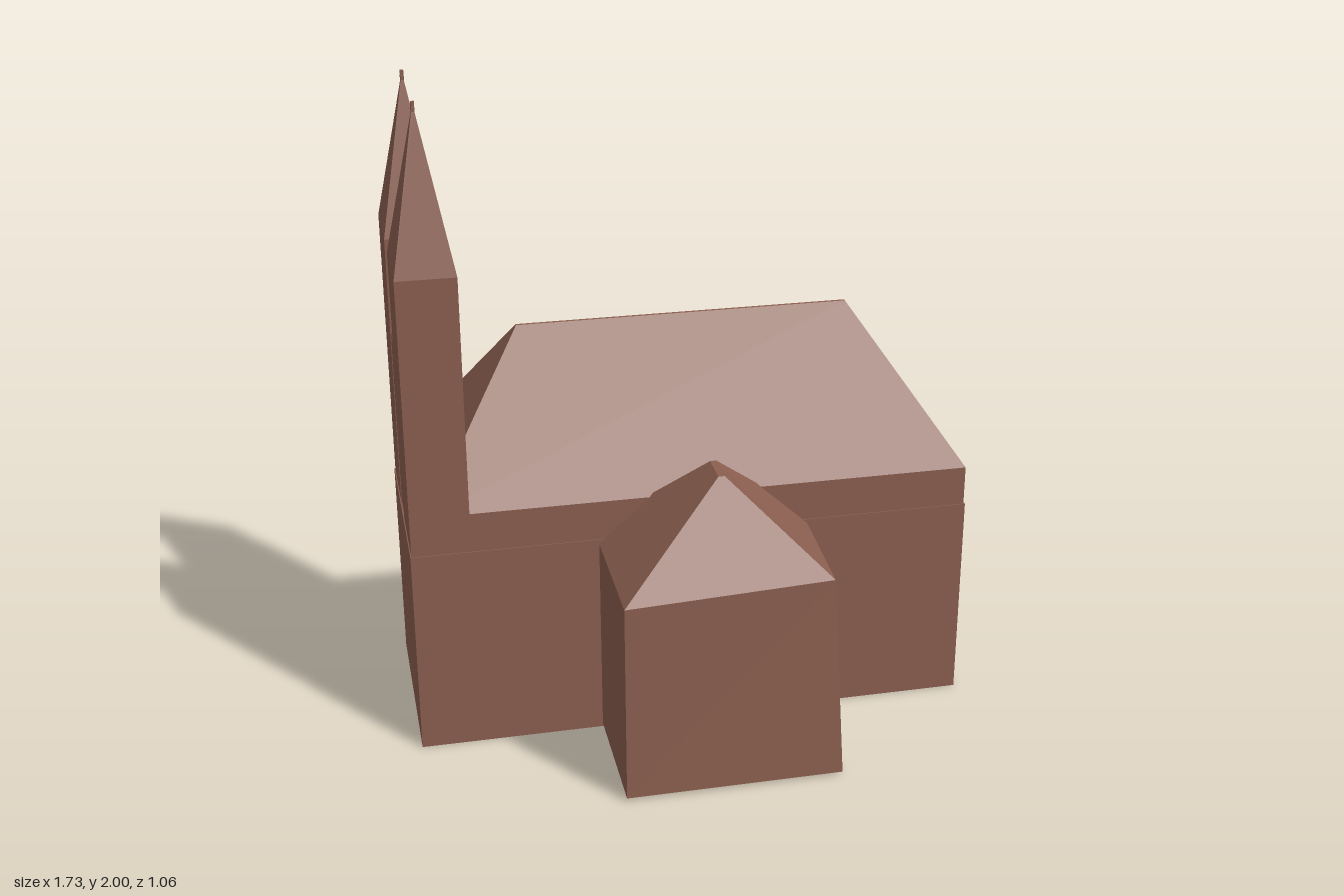
import * as THREE from 'three';

const material = new THREE.MeshStandardMaterial({ color: 0x8b5f50, flatShading: true });

// Four corners at one height: front left, front right, back right, back left
const rect = (x0, x1, z0, z1, y) => [[x0, y, z1], [x1, y, z1], [x1, y, z0], [x0, y, z0]];

// Closed solid through four-cornered rings, from bottom to top
function loft(name, rings) {
  const pos = [];
  const tri = (a, b, c) => {
    const t = new THREE.Triangle(...[a, b, c].map(p => new THREE.Vector3(...p)));
    if (t.getArea() > 1e-8) pos.push(...a, ...b, ...c);
  };
  const quad = (a, b, c, d) => { tri(a, b, c); tri(a, c, d); };
  for (let r = 0; r < rings.length - 1; r++) {
    for (let i = 0; i < 4; i++) {
      const j = (i + 1) % 4;
      quad(rings[r][i], rings[r][j], rings[r + 1][j], rings[r + 1][i]);
    }
  }
  quad(...rings[rings.length - 1]);
  quad(...[...rings[0]].reverse());
  const geo = new THREE.BufferGeometry();
  geo.setAttribute('position', new THREE.Float32BufferAttribute(pos, 3));
  geo.computeVertexNormals();
  const mesh = new THREE.Mesh(geo, material);
  mesh.name = name;
  return mesh;
}

function box(name, w, h, d, x, y, z) {
  const mesh = new THREE.Mesh(new THREE.BoxGeometry(w, h, d), material);
  mesh.name = name;
  mesh.position.set(x, y, z);
  return mesh;
}

// Square tower with a pointed spire and a small cross
function tower(name, z0, z1) {
  const g = new THREE.Group();
  g.name = name;
  const x = -0.775, z = (z0 + z1) / 2, t = 0.004;
  g.add(
    loft('towerWithSpire', [
      rect(-0.864, -0.686, z0, z1, 0.655),
      rect(-0.864, -0.686, z0, z1, 1.525),
      rect(x - t, x + t, z - t, z + t, 1.975),
    ]),
    box('crossPost', 0.01, 0.035, 0.01, x, 1.9825, z),
    box('crossBar', 0.01, 0.01, 0.034, x, 1.98, z),
  );
  return g;
}

export function createModel() {
  const model = new THREE.Group();
  model.name = 'church';

  // Nave: lower walls, slightly inset upper walls, hipped roof
  model.add(
    loft('lowerWalls', [rect(-0.867, 0.863, -0.53, 0.113, 0), rect(-0.867, 0.863, -0.53, 0.113, 0.66)]),
    loft('upperWalls', [rect(-0.862, 0.859, -0.526, 0.11, 0.65), rect(-0.862, 0.859, -0.526, 0.11, 0.785)]),
    loft('naveRoof', [
      rect(-0.81, 0.859, -0.526, 0.11, 0.785),
      rect(-0.49, 0.545, -0.213, -0.203, 1.25),
    ]),
  );

  // Twin towers and the pyramid-roofed block between them
  model.add(
    tower('frontTower', -0.155, 0.11),
    tower('backTower', -0.527, -0.272),
    loft('middleBlock', [
      rect(-0.862, -0.703, -0.275, -0.152, 0.65),
      rect(-0.862, -0.703, -0.275, -0.152, 1.225),
      rect(-0.782, -0.782, -0.212, -0.212, 1.33),
    ]),
  );

  // Side annex with one leaning corner and a hipped roof
  const base = rect(-0.3, 0.363, -0.01, 0.53, 0.01);
  const eaves = [[-0.3, 0.645, 0.53], [0.33, 0.655, 0.5], [0.357, 0.645, -0.01], [-0.3, 0.645, -0.01]];
  model.add(loft('annex', [base, eaves, rect(0.021, 0.04, 0.205, 0.315, 0.932)]));

  return model;
}
